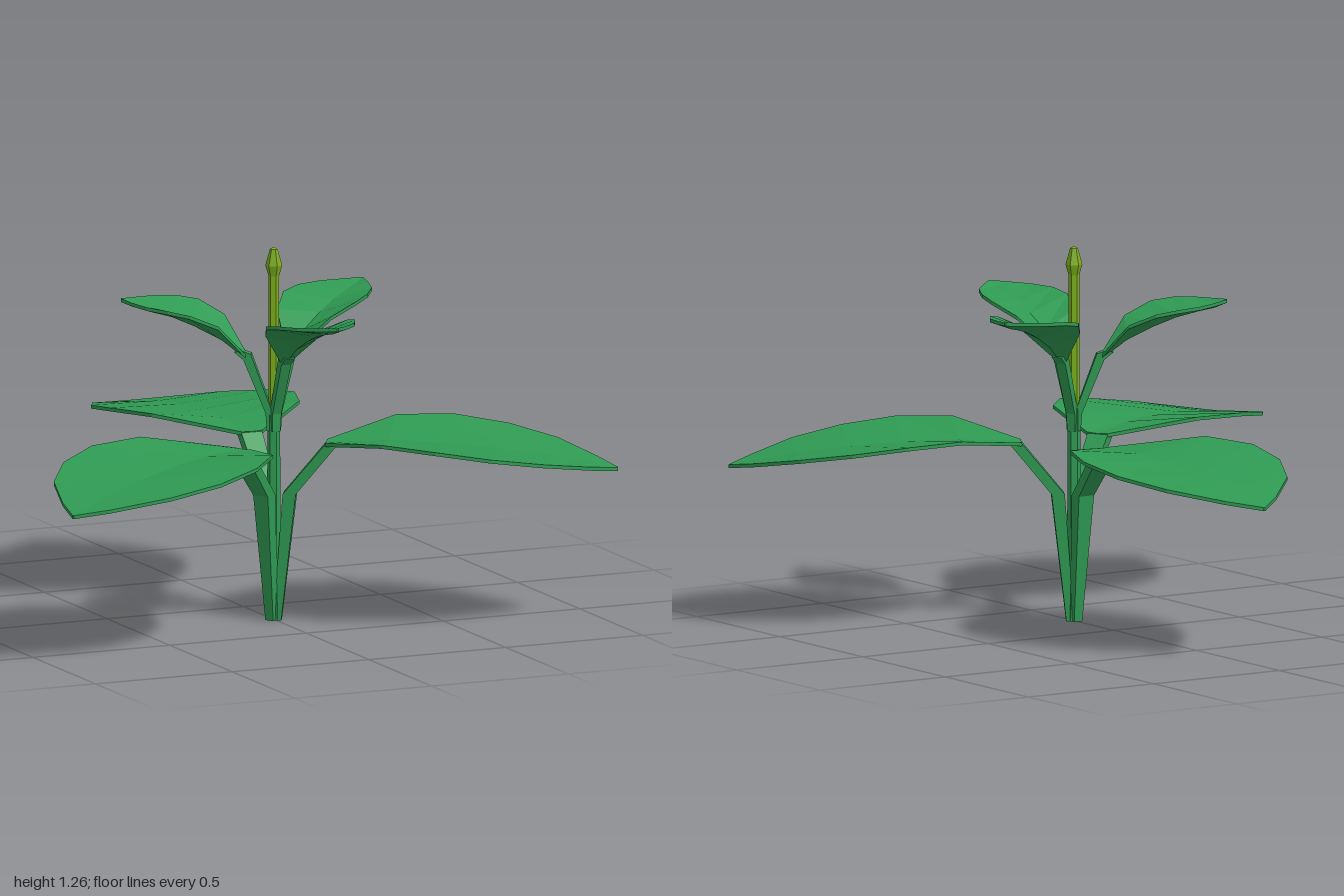
import * as THREE from 'three';

const green = new THREE.MeshStandardMaterial({ color: 0x2f9a53 });
green.name = 'leaf green';
const lime = new THREE.MeshStandardMaterial({ color: 0x7aad1c });
lime.name = 'bud lime';

// Skin a list of matching cross-section rings into a closed, faceted solid
function loft(rings) {
  const pos = [];
  const tri = (a, b, c) => pos.push(...a, ...b, ...c);
  const n = rings[0].length;
  for (let i = 0; i < rings.length - 1; i++) {
    const a = rings[i], b = rings[i + 1];
    for (let j = 0; j < n; j++) {
      const k = (j + 1) % n;
      tri(a[j], a[k], b[k]);
      tri(a[j], b[k], b[j]);
    }
  }
  const first = rings[0], last = rings[rings.length - 1];
  for (let j = 1; j < n - 1; j++) {
    tri(first[0], first[j + 1], first[j]);
    tri(last[0], last[j], last[j + 1]);
  }
  const g = new THREE.BufferGeometry();
  g.setAttribute('position', new THREE.Float32BufferAttribute(pos, 3));
  g.computeVertexNormals();
  return g;
}

// Blade rows: [distance out, half width, midrib height, edge height]
function bladeGeometry(rows, t) {
  return loft(rows.map(([r, w, mid, edge]) => [
    [-w, edge - t, r], [0, mid - t, r], [w, edge - t, r],
    [w, edge, r], [0, mid, r], [-w, edge, r],
  ]));
}

// Stalk rows: [outer distance, outer height, inner distance, inner height, half width]
function stalkGeometry(rows) {
  return loft(rows.map(([ro, yo, ri, yi, w]) => [
    [-w, yo, ro], [w, yo, ro], [w, yi, ri], [-w, yi, ri],
  ]));
}

function part(name, geometry, material) {
  const m = new THREE.Mesh(geometry, material);
  m.name = name;
  return m;
}

// Faceted round profile: points are [radius, height]
function turned(points) {
  const g = new THREE.LatheGeometry(points.map(p => new THREE.Vector2(...p)), 6).toNonIndexed();
  g.computeVertexNormals();
  return g;
}

export function createModel() {
  const model = new THREE.Group();
  model.name = 'plant';
  const plant = new THREE.Group();
  plant.name = 'stemAndLeaves';
  plant.position.z = 0.24;
  model.add(plant);

  // Central stem, flower spike and bud
  plant.add(part('stem', turned([[0, 0], [0.024, 0], [0.022, 0.45], [0.021, 0.72], [0, 0.72]]), green));
  plant.add(part('spike', turned([[0, 0.7], [0.018, 0.7], [0.018, 1.18], [0, 1.18]]), lime));
  plant.add(part('bud', turned([[0, 1.165], [0.018, 1.165], [0.028, 1.2], [0.013, 1.255], [0, 1.262]]), lime));

  // Large lower leaves
  const bigBlade = bladeGeometry([
    [0.175, 0.038, 0.605, 0.607],
    [0.385, 0.27, 0.615, 0.65],
    [0.57, 0.337, 0.61, 0.642],
    [0.755, 0.322, 0.595, 0.617],
    [0.925, 0.24, 0.575, 0.588],
    [1.07, 0.1, 0.55, 0.555],
    [1.15, 0.003, 0.537, 0.537],
  ], 0.012);
  const bigStalk = stalkGeometry([
    [0.026, 0, 0, 0, 0.016],
    [0.076, 0.43, 0.032, 0.43, 0.03],
    [0.215, 0.6, 0.175, 0.603, 0.038],
  ]);

  // Small upper leaves
  const smallBlade = bladeGeometry([
    [0.09, 0.014, 0.89, 0.895],
    [0.175, 0.11, 0.955, 1.01],
    [0.265, 0.15, 1.0, 1.052],
    [0.34, 0.142, 1.03, 1.065],
    [0.415, 0.105, 1.05, 1.07],
    [0.47, 0.05, 1.062, 1.074],
    [0.51, 0.003, 1.078, 1.078],
  ], 0.012);
  const smallStalk = stalkGeometry([
    [0.022, 0.64, 0, 0.64, 0.014],
    [0.026, 0.7, 0.002, 0.7, 0.016],
    [0.1, 0.88, 0.075, 0.9, 0.018],
    [0.13, 0.905, 0.11, 0.912, 0.018],
  ]);

  // Two whorls of three, offset by half a step
  for (let i = 0; i < 3; i++) {
    const turn = (i * Math.PI * 2) / 3;
    const lower = new THREE.Group();
    lower.name = 'lowerLeaf' + (i + 1);
    lower.rotation.y = Math.PI + turn;
    lower.add(part('lowerBlade', bigBlade, green), part('lowerStalk', bigStalk, green));
    const upper = new THREE.Group();
    upper.name = 'upperLeaf' + (i + 1);
    upper.rotation.y = turn;
    upper.add(part('upperBlade', smallBlade, green), part('upperStalk', smallStalk, green));
    plant.add(lower, upper);
  }
  return model;
}
